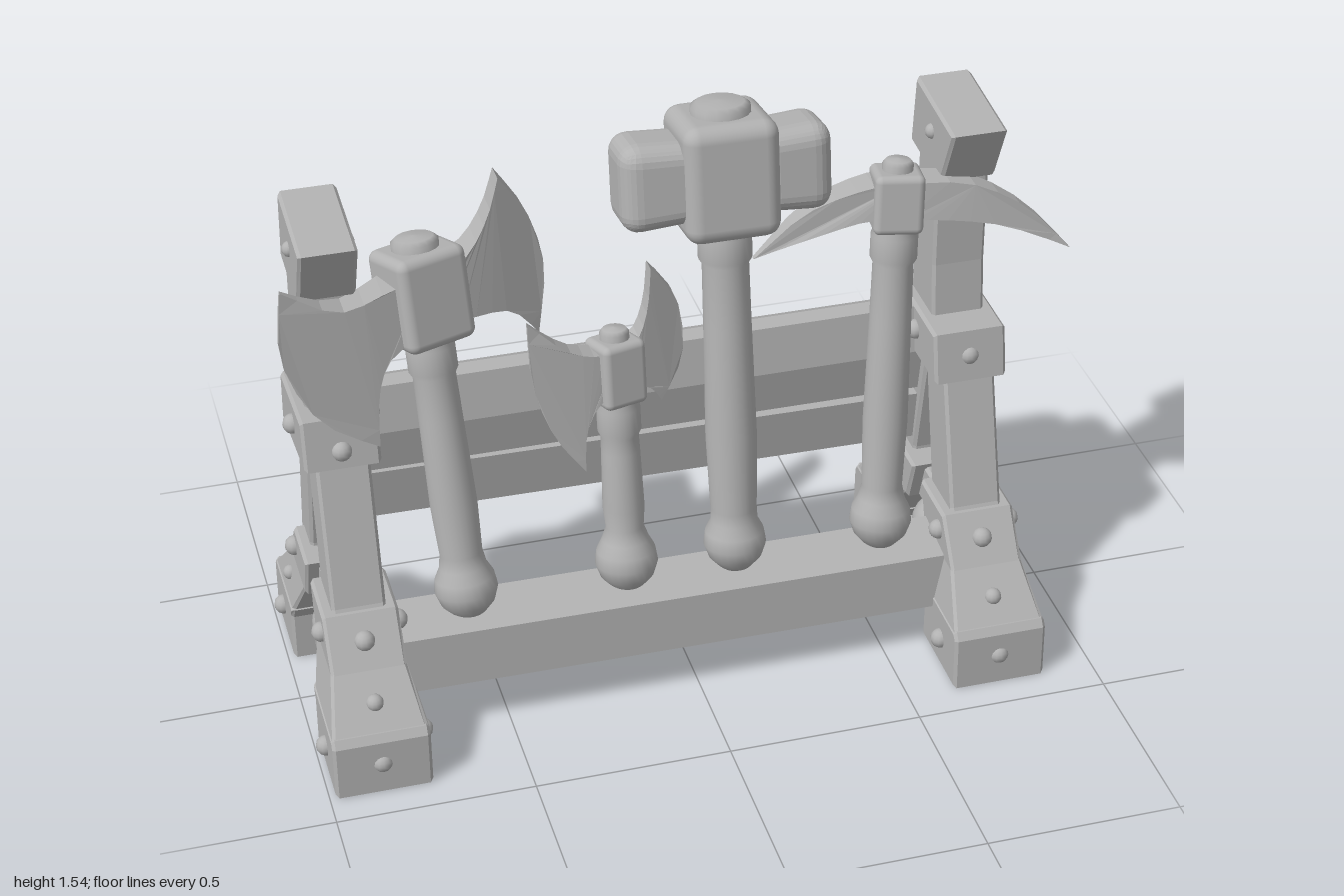
import * as THREE from 'three';
import { RoundedBoxGeometry } from 'three/addons/geometries/RoundedBoxGeometry.js';

const grey = new THREE.MeshStandardMaterial({ color: 0xb2b2b2 });
grey.name = 'plain grey';

function add(parent, name, geometry, x = 0, y = 0, z = 0) {
  const mesh = new THREE.Mesh(geometry, grey);
  mesh.name = name;
  mesh.position.set(x, y, z);
  parent.add(mesh);
  return mesh;
}

// Moves every vertex of a geometry by a rule
function reshape(geometry, rule) {
  const p = geometry.attributes.position, v = new THREE.Vector3();
  for (let i = 0; i < p.count; i++) {
    rule(v.fromBufferAttribute(p, i));
    p.setXYZ(i, v.x, v.y, v.z);
  }
  geometry.computeVertexNormals();
  return geometry;
}

// Bevelled timber with a (z, y) side profile, centred on x
function timber(points, width, bevel = 0.008) {
  const shape = new THREE.Shape(points.map(([z, y]) => new THREE.Vector2(z, y)));
  const g = new THREE.ExtrudeGeometry(shape, {
    depth: width - 2 * bevel, bevelThickness: bevel, bevelSize: bevel,
    bevelOffset: -bevel, bevelSegments: 1,
  });
  g.translate(0, 0, -width / 2 + bevel);
  return g.rotateY(-Math.PI / 2);
}

const mirrorZ = (pts) => pts.map(([z, y]) => [-z, y]);

// One A-shaped end stand; drop lowers the head of its post, tilt leans its collar
function endStand(x, drop, tilt) {
  const stand = new THREE.Group();
  stand.name = 'endStand';
  stand.position.x = x;

  const footBase = [[0.415, 0], [0.41, 0.145], [0.395, 0.165], [0.15, 0.165], [0.17, 0.13], [0.17, 0]];
  const footTop = [[0.405, 0.15], [0.27, 0.29], [0.08, 0.29], [0.165, 0.15]];
  const collar = [[0.288, 0.27], [0.2, 0.392], [0.03, 0.392], [0.07, 0.27]];
  const frontLeg = [[0.265, 0.26], [0.185, 0.4], [0.085, 0.75], [-0.055, 0.75], [0.03, 0.4], [0.09, 0.26]];
  const backLeg = [[-0.265, 0.26], [-0.235, 0.4], [-0.172, 0.75], [-0.04, 0.75], [-0.105, 0.4], [-0.1, 0.26]];
  for (const side of [1, -1]) {
    const flip = side > 0 ? (p) => p : mirrorZ;
    add(stand, 'footBase', timber(flip(footBase), 0.245));
    // upper foot narrows towards the collar
    add(stand, 'footTop', reshape(timber(flip(footTop), 0.243), (v) => { v.x *= 1 - 1.75 * (v.y - 0.15); }));
    add(stand, 'legCollar', timber(flip(collar), 0.19));
    add(stand, 'leg', timber(side > 0 ? frontLeg : backLeg, 0.135));
  }
  add(stand, 'lowerCrossbar', timber([[0.19, 0.02], [0.19, 0.13], [-0.19, 0.13], [-0.19, 0.02]], 0.13));
  add(stand, 'upperCrossbar', timber([[0.12, 0.265], [0.12, 0.38], [-0.12, 0.38], [-0.12, 0.265]], 0.12));
  add(stand, 'endBall', new THREE.SphereGeometry(0.09, 24, 16), 0, 0.205, -0.02).scale.y = 0.9;
  add(stand, 'postCollar', timber([[0.1, 0.728], [0.075, 0.86], [-0.215, 0.865], [-0.225, 0.725]]
    .map(([z, y]) => [z - 0.1 * tilt, y + tilt * (z + 0.06)]), 0.19));
  add(stand, 'post', timber([[-0.01, 0.82], [-0.03, 1.0], [-0.035, 1.3 - drop], [-0.168, 1.3 - drop], [-0.175, 0.82]], 0.137));
  add(stand, 'postCap', timber([[0.07, 1.42], [-0.205, 1.448], [-0.225, 1.26], [-0.04, 1.243], [0.0, 1.26]]
    .map(([z, y]) => [z, y - drop]), 0.143));

  // Rivets on both faces of the stand, then along its front and back
  const rivet = (rx, y, z, r = 0.026) => add(stand, 'rivet', new THREE.SphereGeometry(r, 12, 8), rx, y, z);
  for (const s of [1, -1]) {
    rivet(s * 0.122, 0.08, 0.3);
    rivet(s * 0.122, 0.08, -0.3);
    rivet(s * 0.105, 0.22, -0.245, 0.02);
    rivet(s * 0.095, 0.335, 0.175);
    rivet(s * 0.095, 0.335, -0.2);
    rivet(s * 0.095, 0.8, -0.06);
    rivet(s * 0.068, 1.36 - drop, -0.08, 0.02);
    rivet(0, 0.08, s * 0.4);
    rivet(0, 0.217, s * 0.338, 0.022);
    rivet(0, 0.335, s * 0.24);
    rivet(0, 0.79, s > 0 ? 0.075 : -0.215);
  }
  return stand;
}

// Handle with a round pommel, a head block and a top knob.
// foot and head are the centres of the pommel and the head block.
function tool(name, foot, head, size, radius, yaw, soft) {
  const group = new THREE.Group();
  group.name = name;
  const a = new THREE.Vector3(...foot), b = new THREE.Vector3(...head);
  const axis = b.clone().sub(a), len = axis.length(), r = radius;
  group.position.copy(a);
  group.quaternion.setFromUnitVectors(new THREE.Vector3(0, 1, 0), axis.normalize());
  const neck = len - size[1] / 2;
  const profile = [[0, -0.075], [0.04, -0.066], [0.068, -0.035], [0.08, 0], [0.075, 0.035], [0.06, 0.065],
    [r * 0.98, 0.1], [r * 1.08, neck * 0.35], [r * 1.0, neck * 0.7], [r * 0.97, neck - 0.09],
    [r * 1.12, neck - 0.075], [r * 1.12, neck - 0.015], [r, neck], [r, len]];
  add(group, 'handle', new THREE.LatheGeometry(profile.map(([x, y]) => new THREE.Vector2(x, y)), 24));
  add(group, 'headBlock', new RoundedBoxGeometry(...size, 3, soft), 0, len, 0).rotation.y = yaw;
  const k = size[0] * 0.31, h = size[1] / 2;
  const knob = [[k, h - 0.02], [k, h + 0.016], [k * 0.8, h + 0.026], [0, h + 0.03]];
  add(group, 'topKnob', new THREE.LatheGeometry(knob.map(([x, y]) => new THREE.Vector2(x, y)), 16), 0, len, 0);
  return group;
}

// Blade drawn in front view: thick at its root, thin at its edge, turned and leaned back.
// Each side of the outline is a curve through a few points.
function blade(parent, name, curves, head, slope, reach, thick) {
  const outline = curves.flatMap((c) =>
    new THREE.SplineCurve(c.map(([x, y]) => new THREE.Vector2(x, y))).getPoints(8).slice(0, -1));
  const g = new THREE.ExtrudeGeometry(new THREE.Shape(outline), { depth: 2, bevelEnabled: false });
  reshape(g, (v) => {
    const dx = v.x - head[0];
    const t = Math.max(0.006, thick * (1 - (dx / reach) ** 2));
    v.z = head[2] + slope * dx - 0.2 * (v.y - head[1]) + (v.z - 1) * t;
  });
  add(parent, name, g);
}

export function createModel() {
  const model = new THREE.Group();
  model.name = 'toolRack';
  model.add(endStand(-0.862, 0.08, 0.12), endStand(0.745, 0, 0));

  // Rails between the stands, the back ones stepping out down the back legs
  const rail = (name, pts, tilt) => { add(model, name, timber(pts, 1.52), -0.055, 0, 0).rotation.z = tilt; };
  rail('topRail', [[-0.06, 0.73], [-0.08, 0.855], [-0.125, 0.86], [-0.195, 0.82], [-0.195, 0.72], [-0.16, 0.715]], 0);
  rail('middleRail', [[-0.1, 0.595], [-0.075, 0.735], [-0.145, 0.735], [-0.17, 0.595]], -0.004);
  rail('lowerRail', [[-0.12, 0.435], [-0.1, 0.58], [-0.17, 0.58], [-0.19, 0.435]], -0.012);
  rail('frontRail', [[0.235, 0.14], [0.225, 0.29], [0.08, 0.315], [0.08, 0.14]], -0.008);

  // Large double axe
  const h1 = [-0.625, 1.13, -0.04];
  model.add(tool('largeAxe', [-0.58, 0.355, 0.122], h1, [0.19, 0.24, 0.165], 0.055, 0.36, 0.025));
  const large = new THREE.Group();
  large.name = 'largeAxeBlades';
  blade(large, 'rightBlade', [
    [[-0.62, 1.2], [-0.72, 1.19], [-0.85, 1.18], [-0.985, 1.265]],
    [[-0.985, 1.265], [-0.998, 1.1], [-0.92, 0.93], [-0.775, 0.82]],
    [[-0.775, 0.82], [-0.765, 0.95], [-0.72, 1.03], [-0.62, 1.05]]], h1, -0.42, 0.36, 0.05);
  blade(large, 'leftBlade', [
    [[-0.62, 1.06], [-0.51, 1.05], [-0.4, 1.02], [-0.325, 0.93]],
    [[-0.325, 0.93], [-0.298, 1.09], [-0.335, 1.24], [-0.41, 1.36]],
    [[-0.41, 1.36], [-0.45, 1.27], [-0.52, 1.2], [-0.62, 1.19]]], h1, -0.37, 0.33, 0.05);
  model.add(large);

  // Small double axe
  const h2 = [-0.165, 0.878, 0.035];
  model.add(tool('smallAxe', [-0.165, 0.355, 0.118], h2, [0.12, 0.17, 0.11], 0.049, 0.3, 0.018));
  const small = new THREE.Group();
  small.name = 'smallAxeBlades';
  blade(small, 'rightBlade', [
    [[-0.165, 0.945], [-0.22, 0.945], [-0.3, 0.98], [-0.395, 1.07]],
    [[-0.395, 1.07], [-0.39, 0.91], [-0.345, 0.77], [-0.27, 0.66]],
    [[-0.27, 0.66], [-0.26, 0.76], [-0.22, 0.82], [-0.165, 0.84]]], h2, -0.32, 0.23, 0.032);
  blade(small, 'leftBlade', [
    [[-0.165, 0.84], [-0.11, 0.83], [-0.075, 0.81], [-0.05, 0.77]],
    [[-0.05, 0.77], [0.018, 0.86], [0.01, 1.01], [-0.06, 1.115]],
    [[-0.06, 1.115], [-0.075, 1.02], [-0.11, 0.95], [-0.165, 0.94]]], h2, -0.32, 0.19, 0.032);
  model.add(small);

  // Sledgehammer, its striking ends flaring outwards
  const hammer = tool('hammer', [0.12, 0.36, 0.118], [0.122, 1.362, -0.03], [0.24, 0.3, 0.235], 0.06, 0, 0.04);
  model.add(hammer);
  const hammerLength = Math.hypot(0.002, 1.002, 0.148);
  for (const [x, w, s] of [[-0.165, 0.21, -1], [0.165, 0.19, 1]]) {
    const face = reshape(new RoundedBoxGeometry(w, 0.23, 0.18, 3, 0.05), (v) => {
      v.y *= 0.94 + 0.06 * s * v.x / (w / 2);
    });
    add(hammer, 'hammerFace', face, x, hammerLength, 0);
  }

  // Pickaxe
  const h4 = [0.56, 1.23, 0.0];
  model.add(tool('pickaxe', [0.51, 0.355, 0.118], h4, [0.125, 0.155, 0.12], 0.053, -0.16, 0.018));
  const pick = new THREE.Group();
  pick.name = 'pickaxePoints';
  blade(pick, 'rightPoint', [
    [[0.56, 1.285], [0.47, 1.275], [0.33, 1.22], [0.2, 1.105]],
    [[0.2, 1.105], [0.35, 1.16], [0.47, 1.195], [0.56, 1.195]]], h4, 0.13, 0.37, 0.04);
  blade(pick, 'leftPoint', [
    [[0.56, 1.19], [0.66, 1.185], [0.82, 1.15], [0.995, 1.068]],
    [[0.995, 1.068], [0.88, 1.19], [0.73, 1.27], [0.56, 1.285]]], h4, 0.1, 0.44, 0.04);
  model.add(pick);
  return model;
}
